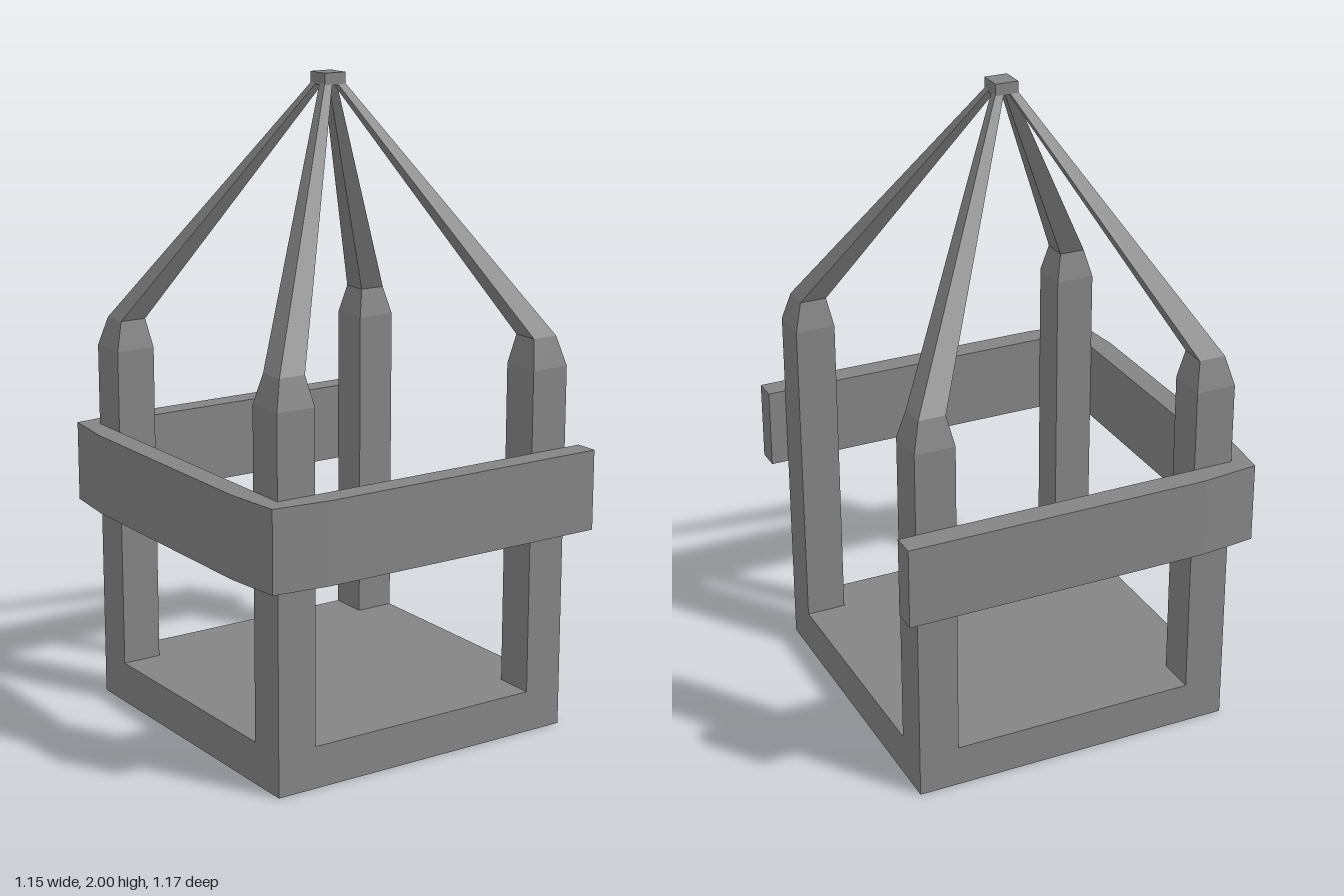
import * as THREE from 'three';

const material = new THREE.MeshStandardMaterial({ color: 0x848484, flatShading: true });

// Lofts a closed prism through square sections [y, inner, outer] in the corner (sx, sz)
function cornerLoft(sections, sx, sz) {
  const rings = sections.map(([y, a, b]) => {
    const [x0, x1] = sx > 0 ? [a, b] : [-b, -a];
    const [z0, z1] = sz > 0 ? [a, b] : [-b, -a];
    return [[x0, y, z1], [x1, y, z1], [x1, y, z0], [x0, y, z0]];
  });
  const pos = [];
  const quad = (a, b, c, d) => pos.push(...a, ...b, ...c, ...a, ...c, ...d);
  for (let i = 0; i < rings.length - 1; i++) {
    for (let k = 0; k < 4; k++) {
      const n = (k + 1) % 4;
      quad(rings[i][k], rings[i][n], rings[i + 1][n], rings[i + 1][k]);
    }
  }
  const top = rings[rings.length - 1];
  quad(top[0], top[1], top[2], top[3]);
  const bottom = rings[0];
  quad(bottom[3], bottom[2], bottom[1], bottom[0]);
  const geometry = new THREE.BufferGeometry();
  geometry.setAttribute('position', new THREE.Float32BufferAttribute(pos, 3));
  geometry.computeVertexNormals();
  return geometry;
}

export function createModel() {
  const model = new THREE.Group();
  model.name = 'seatFrame';
  const add = (parent, name, geometry, x = 0, y = 0, z = 0) => {
    const mesh = new THREE.Mesh(geometry, material);
    mesh.name = name;
    mesh.position.set(x, y, z);
    parent.add(mesh);
  };

  // Seat, posts and hanger share a slightly shifted centre
  const frame = new THREE.Group();
  frame.name = 'frame';
  frame.position.x = 0.008;
  model.add(frame);

  add(frame, 'seat', new THREE.BoxGeometry(1.028, 0.13, 1.028), 0, 0.065, 0);

  // Corner posts: chamfered shoulder, then a tapering strut up to the apex
  const sections = [
    [0.13, 0.388, 0.514],
    [1.14, 0.388, 0.514],
    [1.23, 0.406, 0.49],
    [1.97, 0.008, 0.035],
  ];
  for (const sx of [-1, 1]) {
    for (const sz of [-1, 1]) {
      const name = (sz > 0 ? 'front' : 'back') + (sx > 0 ? 'Left' : 'Right') + 'Post';
      add(frame, name, cornerLoft(sections, sx, sz));
    }
  }

  add(frame, 'hangerBlock', new THREE.BoxGeometry(0.072, 0.037, 0.076), 0, 1.9815, 0);

  // U-shaped guard rail, open on the +x side, with softened outer corners
  const outline = [
    [0.577, 0.587], [-0.375, 0.587], [-0.557, 0.567], [-0.577, 0.385],
    [-0.577, -0.385], [-0.557, -0.567], [-0.375, -0.587], [0.577, -0.587],
    [0.577, -0.514], [-0.506, -0.514], [-0.506, 0.514], [0.577, 0.514],
  ];
  const shape = new THREE.Shape(outline.map(([x, z]) => new THREE.Vector2(x, -z)));
  const railGeometry = new THREE.ExtrudeGeometry(shape, { depth: 0.25, bevelEnabled: false });
  railGeometry.rotateX(-Math.PI / 2);
  add(model, 'guardRail', railGeometry, 0, 0.637, 0);

  return model;
}
